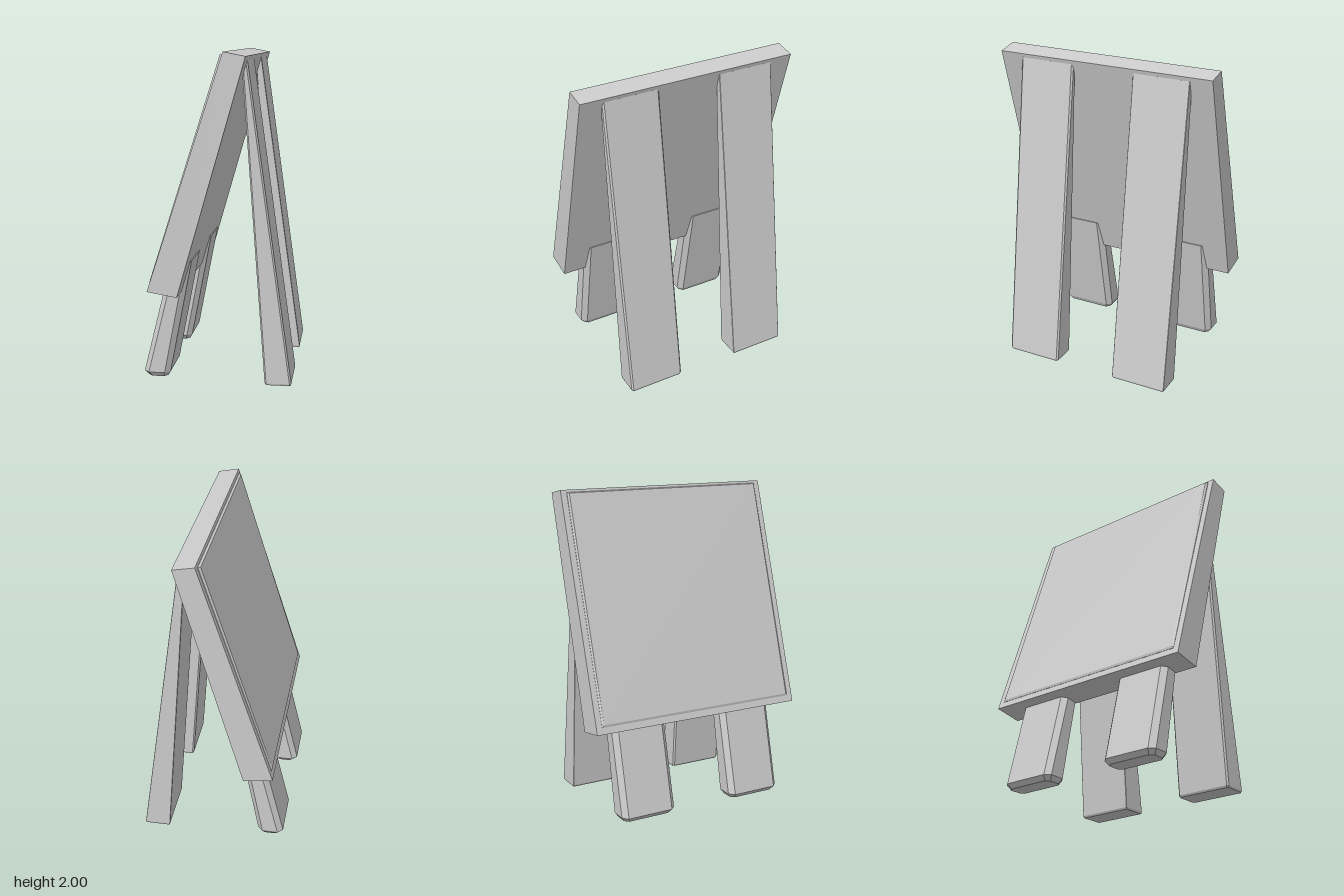
import * as THREE from 'three';

const material = new THREE.MeshStandardMaterial({ color: 0xcccccc, flatShading: true, side: THREE.DoubleSide });

// Closed solid through rings of [x, y, z] corners, all turning the same way
function loft(name, rings) {
  const n = rings[0].length, last = rings.length - 1, index = [];
  for (let r = 0; r < last; r++) {
    for (let i = 0; i < n; i++) {
      const a = r * n + i, b = r * n + (i + 1) % n;
      index.push(a, b, b + n, a, b + n, a + n);
    }
  }
  for (let i = 1; i < n - 1; i++) {
    index.push(0, i + 1, i);
    index.push(last * n, last * n + i, last * n + i + 1);
  }
  const indexed = new THREE.BufferGeometry();
  indexed.setAttribute('position', new THREE.Float32BufferAttribute(rings.flat(2), 3));
  indexed.setIndex(index);
  const geometry = indexed.toNonIndexed();
  geometry.computeVertexNormals();
  const mesh = new THREE.Mesh(geometry, material);
  mesh.name = name;
  return mesh;
}

// Horizontal leg section from x0 to x1 with its upright corners cut by c
function legRing(y, x0, x1, z, half, c) {
  const a = z - half, b = z + half;
  return [
    [x1 - c, y, b], [x1, y, b - c], [x1, y, a + c], [x1 - c, y, a],
    [x0 + c, y, a], [x0, y, a + c], [x0, y, b - c], [x0 + c, y, b],
  ];
}

// Rectangle across the tilted panel, running along z between two profile points
function panelRing(low, high, half) {
  return [[...low, -half], [...low, half], [...high, half], [...high, -half]];
}

export function createModel() {
  const group = new THREE.Group();
  group.name = 'easelBoard';

  // Thick leaning board, narrower at the top
  group.add(loft('board', [
    panelRing([-0.22, 0.565], [0.185, 1.975], 0.71),
    panelRing([-0.4, 0.595], [0.055, 2.0], 0.71),
  ]));

  // Thin raised face with bevelled rim
  group.add(loft('facePanel', [
    panelRing([-0.36, 0.63], [0.06, 1.975], 0.672),
    panelRing([-0.389, 0.635], [0.046, 1.985], 0.672),
    panelRing([-0.391, 0.65], [0.032, 1.982], 0.662),
  ]));

  for (const side of [1, -1]) {
    const z = side * 0.385;

    // Short front leg with chamfered edges and foot
    group.add(loft('frontLeg', [
      legRing(0.02, -0.432, -0.312, z, 0.16, 0.025),
      legRing(0.05, -0.457, -0.295, z, 0.182, 0.032),
      legRing(0.75, -0.285, -0.16, z, 0.182, 0.032),
    ]));

    // Long tapering back leg; one has eased edges
    const ease = side > 0 ? 0.01 : 0.002;
    group.add(loft('backLeg', [
      legRing(0, 0.295, 0.447, z, 0.178, ease),
      legRing(0.012, 0.288, 0.45, z, 0.182, ease),
      legRing(1.95, 0.142, 0.178, z, 0.182, ease),
    ]));
  }
  return group;
}
